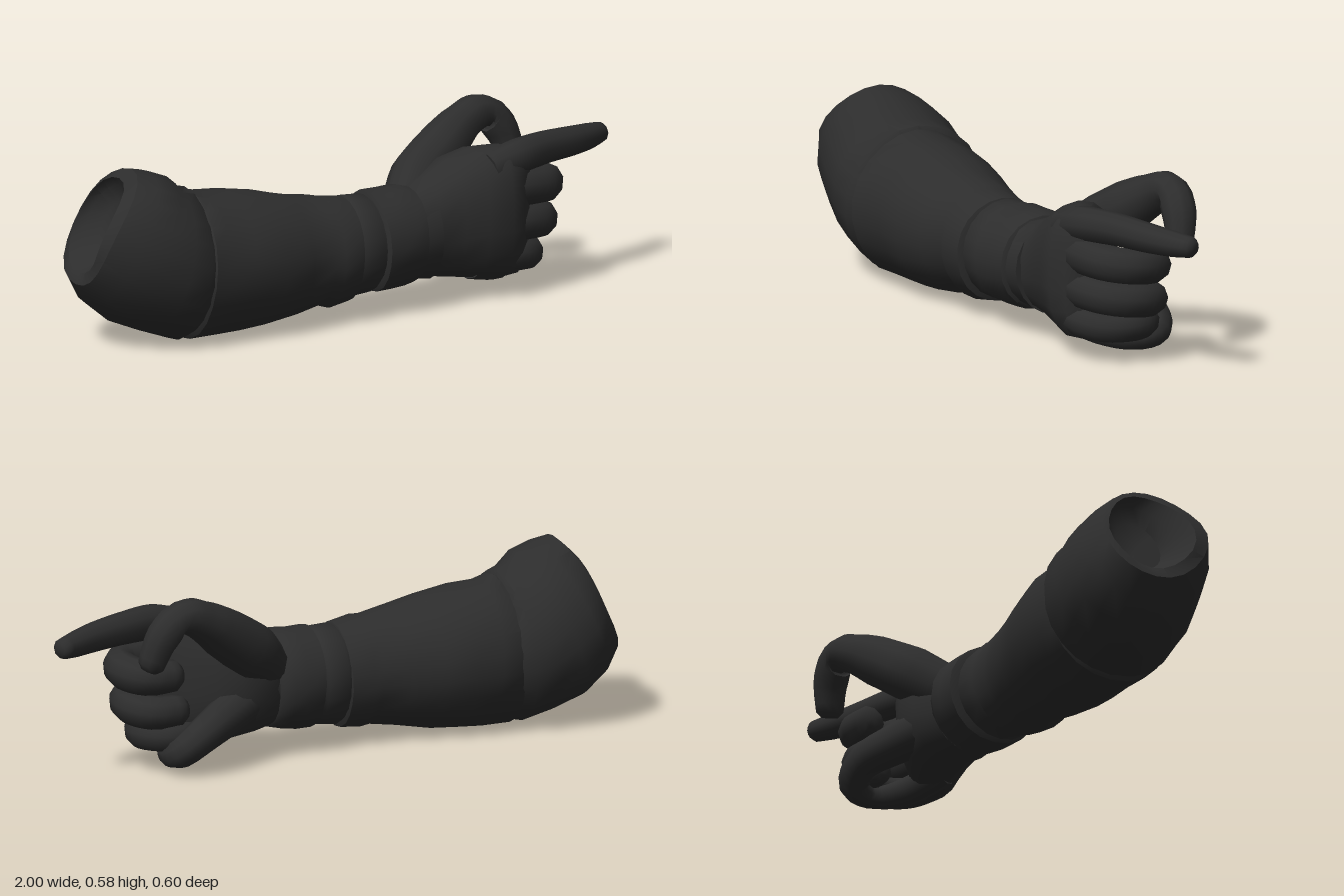
import * as THREE from 'three';
import { toCreasedNormals } from 'three/addons/utils/BufferGeometryUtils.js';

// Skin a list of rings (arrays of Vector3) and close both ends
function loft(rings, crease = 0.8) {
  const n = rings[0].length, pos = [], index = [];
  rings.forEach(r => r.forEach(p => pos.push(p.x, p.y, p.z)));
  for (let i = 0; i < rings.length - 1; i++) {
    for (let j = 0; j < n; j++) {
      const k = (j + 1) % n, a = i * n + j, b = i * n + k;
      index.push(a, b, a + n, b, b + n, a + n);
    }
  }
  [0, rings.length - 1].forEach((i, end) => {
    const c = new THREE.Vector3();
    rings[i].forEach(p => c.addScaledVector(p, 1 / n));
    const id = pos.length / 3;
    pos.push(c.x, c.y, c.z);
    for (let j = 0; j < n; j++) {
      const a = i * n + j, b = i * n + (j + 1) % n;
      end ? index.push(id, a, b) : index.push(id, b, a);
    }
  });
  const g = new THREE.BufferGeometry();
  g.setAttribute('position', new THREE.Float32BufferAttribute(pos, 3));
  g.setIndex(index);
  return toCreasedNormals(g, crease);
}

// Sections along the arm: [xTop, yTop, xBottom, yBottom, zMin, zMax, lean of the top to +z, bulge of the +z side to -x]
function limb(sections, n = 20, fold = 0, square = 1) {
  return loft(sections.map(([xt, yt, xb, yb, z0, z1, lean = 0, bulge = 0], i) => {
    const ring = [];
    for (let j = 0; j < n; j++) {
      const a = j / n * Math.PI * 2;
      const w = 1 + fold * Math.sin(a * 3 + i * 1.9) * Math.sin(a * 2 + i);
      const c = Math.sign(Math.cos(a)) * Math.abs(Math.cos(a)) ** square * w;
      const s = Math.sign(Math.sin(a)) * Math.abs(Math.sin(a)) ** square * w;
      ring.push(new THREE.Vector3(
        (xt + xb) / 2 + (xt - xb) / 2 * c - bulge * s * s * (0.5 + 0.5 * s),
        (yt + yb) / 2 + (yt - yb) / 2 * c,
        (z0 + z1) / 2 + (z1 - z0) / 2 * s + lean * c));
    }
    return ring;
  }));
}

// Tapered finger through points [x, y, z, radius] with a blunt tip
function finger(points, n = 10) {
  const curve = new THREE.CatmullRomCurve3(points.map(p => new THREE.Vector3(p[0], p[1], p[2])), false, 'centripetal');
  const steps = (points.length - 1) * 4, frames = curve.computeFrenetFrames(steps);
  const rings = [];
  const addRing = (c, i, r) => {
    const ring = [];
    for (let j = 0; j < n; j++) {
      const a = j / n * Math.PI * 2;
      ring.push(c.clone().addScaledVector(frames.normals[i], r * Math.cos(a))
        .addScaledVector(frames.binormals[i], r * Math.sin(a)));
    }
    rings.push(ring);
  };
  for (let i = 0; i <= steps; i++) {
    const k = Math.min(Math.floor(i / 4), points.length - 2), f = i / 4 - k;
    addRing(curve.getPoint(i / steps), i, points[k][3] * (1 - f) + points[k + 1][3] * f);
  }
  const last = points[points.length - 1][3];
  addRing(curve.getPoint(1).addScaledVector(frames.tangents[steps], last * 0.4), steps, last * 0.6);
  return loft(rings, 1.1);
}

export function createModel() {
  const group = new THREE.Group();
  const charcoal = new THREE.MeshStandardMaterial({ color: 0x2d2d2d });
  charcoal.name = 'charcoal';
  const add = (name, geometry) => {
    const mesh = new THREE.Mesh(geometry, charcoal);
    mesh.name = name;
    group.add(mesh);
  };

  // Upper sleeve: shallow opening, rolled rim and bent elbow
  add('upperSleeve', limb([
    [-0.83, 0.47, -0.9, 0.29, -0.05, 0.11],
    [-0.84, 0.525, -0.95, 0.27, -0.09, 0.14, 0, 0.03],
    [-0.86, 0.56, -0.985, 0.255, -0.105, 0.18, 0.02, 0.06],
    [-0.83, 0.592, -1.0, 0.22, -0.125, 0.23, 0.03, 0.055],
    [-0.77, 0.58, -0.955, 0.15, -0.17, 0.27, 0.035, 0.035],
    [-0.7, 0.55, -0.88, 0.085, -0.195, 0.288, 0.03, 0.015],
    [-0.67, 0.515, -0.78, 0.045, -0.197, 0.298, 0.015],
    [-0.62, 0.5, -0.68, 0.01, -0.193, 0.29],
    [-0.6, 0.46, -0.6, 0.04, -0.16, 0.26],
  ], 22, 0.014));

  // Forearm sleeve with shallow folds and a gathered end
  add('forearmSleeve', limb([
    [-0.64, 0.47, -0.66, 0.04, -0.15, 0.26],
    [-0.61, 0.49, -0.64, 0.008, -0.17, 0.283],
    [-0.56, 0.48, -0.54, 0.01, -0.17, 0.272],
    [-0.47, 0.475, -0.45, 0.015, -0.178, 0.267],
    [-0.35, 0.455, -0.36, 0.022, -0.165, 0.258],
    [-0.25, 0.43, -0.24, 0.04, -0.14, 0.226],
    [-0.15, 0.412, -0.15, 0.055, -0.125, 0.2],
    [-0.12, 0.408, -0.12, 0.045, -0.122, 0.21],
    [-0.04, 0.395, -0.05, 0.055, -0.12, 0.195],
    [-0.03, 0.37, -0.04, 0.08, -0.1, 0.165],
  ], 22, 0.014));

  // Wrist and glove cuff, with a raised strap around it
  add('gloveCuff', limb([
    [-0.06, 0.375, -0.06, 0.085, -0.1, 0.165],
    [-0.03, 0.395, -0.03, 0.068, -0.125, 0.18],
    [0.04, 0.392, 0.04, 0.075, -0.125, 0.175],
    [0.06, 0.375, 0.06, 0.095, -0.115, 0.16],
    [0.2, 0.38, 0.2, 0.095, -0.12, 0.15],
    [0.27, 0.39, 0.27, 0.085, -0.135, 0.14],
  ], 20, 0.006));
  add('wristStrap', limb([
    [0.045, 0.375, 0.055, 0.09, -0.12, 0.16],
    [0.055, 0.4, 0.065, 0.07, -0.145, 0.183],
    [0.12, 0.4, 0.12, 0.072, -0.152, 0.178],
    [0.17, 0.405, 0.17, 0.078, -0.152, 0.17],
    [0.21, 0.395, 0.2, 0.085, -0.135, 0.162],
    [0.22, 0.37, 0.21, 0.1, -0.115, 0.14],
  ], 20, 0.014));

  // Palm and back of the hand
  add('palm', limb([
    [0.21, 0.385, 0.21, 0.095, -0.12, 0.14],
    [0.28, 0.41, 0.28, 0.088, -0.16, 0.122],
    [0.36, 0.46, 0.36, 0.075, -0.165, 0.128],
    [0.44, 0.495, 0.44, 0.07, -0.135, 0.138],
    [0.52, 0.505, 0.52, 0.068, -0.07, 0.148],
    [0.58, 0.49, 0.57, 0.075, -0.02, 0.118],
    [0.62, 0.46, 0.6, 0.1, 0.0, 0.08],
  ], 18, 0.012, 0.85));

  // Thumb arching up and back down toward the index finger
  add('thumb', finger([
    [0.23, 0.3, -0.05, 0.08], [0.33, 0.385, -0.14, 0.092], [0.44, 0.46, -0.185, 0.084],
    [0.53, 0.515, -0.225, 0.066], [0.61, 0.54, -0.243, 0.058], [0.675, 0.48, -0.24, 0.056], [0.71, 0.385, -0.225, 0.044],
  ]));

  // Pointing index finger
  add('indexFinger', finger([
    [0.47, 0.43, 0.065, 0.055], [0.58, 0.455, 0.05, 0.058], [0.7, 0.46, 0.0, 0.053],
    [0.83, 0.455, -0.053, 0.048], [0.92, 0.45, -0.1, 0.042], [0.978, 0.448, -0.135, 0.034],
  ]));

  // Curled fingers: [name, height, reach, radius, drop toward the tip]
  [['middleFinger', 0.345, 0.73, 0.06, 0.02],
    ['ringFinger', 0.23, 0.71, 0.058, 0.02],
    ['littleFinger', 0.125, 0.665, 0.05, 0]].forEach(([name, y, reach, r, drop]) => {
    add(name, finger([
      [0.47, y + 0.02, 0.065, r * 0.9], [0.59, y + 0.01, 0.052, r * 1.06],
      [reach - 0.02, y, 0.005, r], [reach, y - drop / 2, -0.08, r],
      [reach - 0.045, y - drop, -0.145, r * 0.95], [reach - 0.14, y - drop, -0.145, r * 0.85],
    ]));
  });

  // Heel of the hand swelling out under the curled fingers
  add('palmHeel', finger([
    [0.42, 0.12, 0.03, 0.05], [0.54, 0.085, -0.03, 0.045], [0.6, 0.064, -0.12, 0.036],
    [0.59, 0.085, -0.2, 0.05], [0.52, 0.135, -0.208, 0.058], [0.42, 0.17, -0.15, 0.066],
    [0.32, 0.2, -0.08, 0.075],
  ]));

  return group;
}
